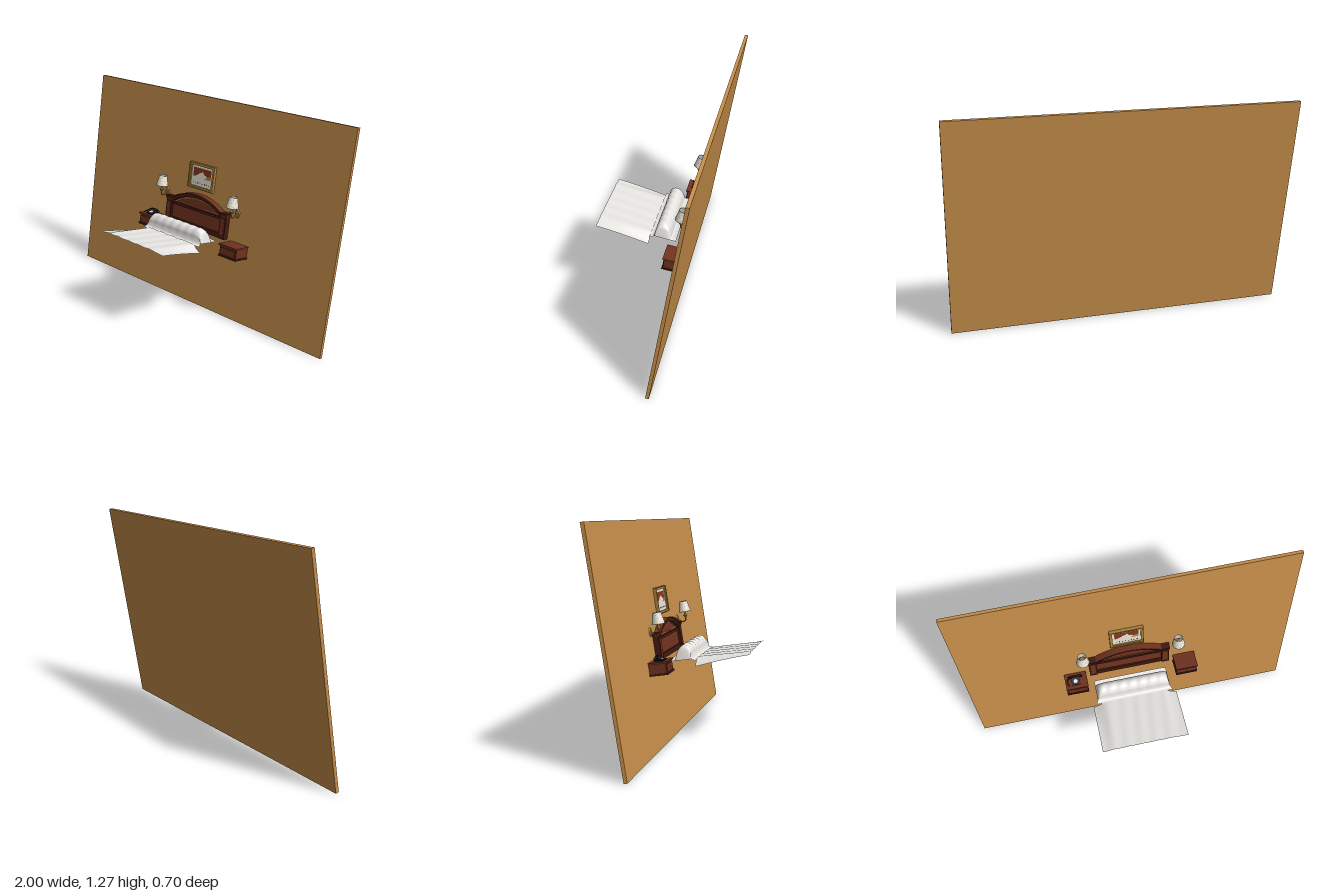
import * as THREE from 'three';

const mat = (name, color, side = THREE.FrontSide) => {
  const m = new THREE.MeshStandardMaterial({ color, side });
  m.name = name;
  return m;
};
const M = {
  wall: mat('tan wall', 0xc68e4a),
  wood: mat('red wood', 0x71321f),
  dark: mat('dark wood', 0x42190f),
  brass: mat('brass', 0xa98238),
  cloth: mat('white cloth', 0xe9e7e3, THREE.DoubleSide),
  shade: mat('cream shade', 0xe6e1d6, THREE.DoubleSide),
  black: mat('black plastic', 0x17171a),
  rust: mat('rust paint', 0x83351c),
};

function add(parent, name, geo, material, x = 0, y = 0, z = 0) {
  const mesh = new THREE.Mesh(geo, material);
  mesh.name = name;
  mesh.position.set(x, y, z);
  parent.add(mesh);
  return mesh;
}
const box = (p, name, m, w, h, d, x, y, z) => add(p, name, new THREE.BoxGeometry(w, h, d), m, x, y, z);
const group = (parent, name, x = 0, y = 0, z = 0) => {
  const g = new THREE.Group();
  g.name = name;
  g.position.set(x, y, z);
  parent.add(g);
  return g;
};
const extrude = (shape, depth) => new THREE.ExtrudeGeometry(shape, { depth, bevelEnabled: false, curveSegments: 32 });
const polygon = pts => new THREE.Shape(pts.map(p => new THREE.Vector2(p[0], p[1])));

// cloth sheet: rule(s, t) with s from -1 to 1 across, t from 0 (head) to 1 (foot)
function sheet(nx, nt, rule) {
  const geo = new THREE.PlaneGeometry(2, 1, nx, nt);
  const p = geo.attributes.position;
  for (let i = 0; i < p.count; i++) p.setXYZ(i, ...rule(p.getX(i), 0.5 - p.getY(i)));
  geo.computeVertexNormals();
  return geo;
}

function buildHeadboard(parent) {
  const g = group(parent, 'headboard', -0.003);
  const R = 0.38, cy = 0.314, a = 0.575;
  const band = (r0, r1) => {
    const s = new THREE.Shape();
    s.absarc(0, cy, r1, Math.PI / 2 - a, Math.PI / 2 + a, false);
    s.absarc(0, cy, r0, Math.PI / 2 + a, Math.PI / 2 - a, true);
    return s;
  };
  const panel = new THREE.Shape();
  panel.moveTo(-0.205, 0.475);
  panel.lineTo(0.205, 0.475);
  panel.absarc(0, cy, R - 0.01, Math.PI / 2 - a, Math.PI / 2 + a, false);
  add(g, 'headboardPanel', extrude(panel, 0.018), M.wood);
  add(g, 'archRail', extrude(band(R - 0.026, R - 0.006), 0.032), M.dark);
  add(g, 'archCap', extrude(band(R - 0.007, R), 0.042), M.wood);
  add(g, 'archBead', extrude(band(R - 0.034, R - 0.030), 0.021), M.brass);
  box(g, 'crossRail', M.dark, 0.41, 0.016, 0.03, 0, 0.597, 0.015);
  box(g, 'crossBead', M.brass, 0.4, 0.003, 0.02, 0, 0.611, 0.01);
  box(g, 'bottomRail', M.dark, 0.41, 0.03, 0.028, 0, 0.49, 0.014);
  for (const s of [-1, 1]) {
    box(g, 'post', M.dark, 0.046, 0.145, 0.034, s * 0.225, 0.5475, 0.017);
    box(g, 'postPanel', M.wood, 0.028, 0.1, 0.003, s * 0.225, 0.55, 0.035);
    box(g, 'postCap', M.dark, 0.056, 0.014, 0.042, s * 0.225, 0.629, 0.021);
    box(g, 'postCapTrim', M.wood, 0.05, 0.006, 0.038, s * 0.225, 0.617, 0.019);
  }
}

function buildBedding(parent) {
  const g = group(parent, 'bedding');
  // pillow cover swept across the bed from a side profile (height, distance from wall)
  const profile = new THREE.CatmullRomCurve3([
    [0.470, 0.071], [0.465, 0.101], [0.489, 0.110], [0.522, 0.125], [0.543, 0.154],
    [0.536, 0.183], [0.510, 0.199], [0.480, 0.201], [0.458, 0.208], [0.452, 0.227],
  ].map(([v, w]) => new THREE.Vector3(0, v, w)));
  add(g, 'pillow', sheet(48, 44, (s, t) => {
    const p = profile.getPoint(t);
    const lift = Math.max(0, p.y - 0.462);
    const end = Math.sqrt(Math.max(0, 1 - Math.abs(s) ** 14));
    const wave = 0.002 * Math.sin(s * 23 + t * 5) * (lift / 0.08);
    const half = 0.226 + 0.012 * Math.max(0, t - 0.85) / 0.15;
    return [-0.011 + s * half, p.y - lift * (1 - end) + wave, p.z + wave];
  }), M.cloth);
  // blanket with sides that droop near the head and flatten at the foot
  add(g, 'blanket', sheet(48, 24, (s, t) => {
    const edge = THREE.MathUtils.smoothstep(Math.abs(s), 0.68, 1);
    const droop = edge * (0.008 + 0.03 * (1 - t) ** 1.2);
    const wave = 0.0015 * Math.sin(s * 19 + t * 3);
    return [-0.011 + s * 0.259, 0.459 - droop + wave, 0.225 + t * 0.32];
  }), M.cloth);
}

function buildNightstand(parent, x, y) {
  const g = group(parent, 'nightstand', x, y, 0);
  box(g, 'standBody', M.wood, 0.126, 0.062, 0.1, 0, 0.038, 0.05);
  box(g, 'standTop', M.wood, 0.136, 0.007, 0.11, 0, 0.0715, 0.055);
  box(g, 'standTopEdge', M.dark, 0.13, 0.004, 0.106, 0, 0.066, 0.053);
  box(g, 'standBase', M.dark, 0.134, 0.011, 0.106, 0, 0.0055, 0.053);
  box(g, 'drawerFrame', M.dark, 0.112, 0.04, 0.002, 0, 0.037, 0.101);
  box(g, 'drawerFront', M.wood, 0.106, 0.034, 0.004, 0, 0.037, 0.102);
  add(g, 'drawerKnob', new THREE.SphereGeometry(0.004, 12, 8), M.brass, 0, 0.037, 0.107);
  return g;
}

function buildPhone(parent) {
  const g = group(parent, 'telephone', -0.004, 0.075, 0.055);
  const side = polygon([[-0.03, 0], [0.03, 0], [0.03, 0.005], [-0.012, 0.017], [-0.03, 0.017]]);
  const base = add(g, 'phoneBase', extrude(side, 0.05), M.black, 0.025, 0, 0);
  base.rotation.y = -Math.PI / 2;
  const dial = add(g, 'phoneDial', new THREE.CylinderGeometry(0.012, 0.012, 0.002, 20), M.cloth, 0, 0.0125, 0.01);
  dial.rotation.x = 0.28;
  const curve = new THREE.CatmullRomCurve3([[-0.036, 0.02], [-0.02, 0.027], [0.02, 0.027], [0.036, 0.02]]
    .map(([x, y]) => new THREE.Vector3(x, y, -0.018)));
  add(g, 'handset', new THREE.TubeGeometry(curve, 16, 0.0045, 8), M.black);
  for (const s of [-1, 1])
    add(g, 'handsetEnd', new THREE.CylinderGeometry(0.007, 0.009, 0.009, 12), M.black, s * 0.036, 0.019, -0.018);
  // coiled cord
  const coil = [];
  for (let i = 0; i <= 80; i++) {
    const t = i / 80, a = t * Math.PI * 20;
    coil.push(new THREE.Vector3(-0.042 + 0.003 * Math.cos(a) - 0.008 * Math.sin(t * Math.PI),
      0.004 + 0.003 * Math.sin(a) + 0.012 * (1 - t) ** 2, -0.018 + t * 0.05));
  }
  add(g, 'phoneCord', new THREE.TubeGeometry(new THREE.CatmullRomCurve3(coil), 160, 0.0012, 5), M.black);
}

function buildLamp(parent, x) {
  const g = group(parent, 'wallLamp', x, 0, 0);
  const plate = add(g, 'wallPlate', new THREE.CylinderGeometry(0.014, 0.017, 0.008, 20), M.brass, 0, 0.648, 0.004);
  plate.rotation.x = Math.PI / 2;
  plate.scale.z = 1.6;
  const arm = new THREE.CatmullRomCurve3([[0.65, 0.006], [0.636, 0.018], [0.626, 0.036], [0.634, 0.054], [0.66, 0.057]]
    .map(([v, w]) => new THREE.Vector3(0, v, w)));
  add(g, 'lampArm', new THREE.TubeGeometry(arm, 24, 0.004, 8), M.brass);
  const cup = [[0, 0.652], [0.006, 0.654], [0.013, 0.664], [0.014, 0.667], [0.006, 0.669], [0.006, 0.7], [0, 0.7]];
  add(g, 'lampCup', new THREE.LatheGeometry(cup.map(p => new THREE.Vector2(...p)), 20), M.brass, 0, 0, 0.057);
  add(g, 'lampBulb', new THREE.SphereGeometry(0.011, 14, 10), M.shade, 0, 0.71, 0.057);
  const rb = 0.038, rt = 0.024, y0 = 0.69, h = 0.064;
  add(g, 'lampShade', new THREE.CylinderGeometry(rt, rb, h, 28, 1, true), M.shade, 0, y0 + h / 2, 0.057);
  for (const [r, y] of [[rb, y0], [rt, y0 + h]]) {
    const rim = add(g, 'shadeRim', new THREE.TorusGeometry(r, 0.0013, 6, 28), M.shade, 0, y, 0.057);
    rim.rotation.x = Math.PI / 2;
  }
  // small painted dots around the shade
  for (let row = 0; row < 3; row++) for (let i = 0; i < 8; i++) {
    const t = 0.2 + row * 0.28, a = (i + (row % 2) / 2) * Math.PI / 4;
    const r = rb + (rt - rb) * t + 0.0006;
    const dot = add(g, 'shadeDot', new THREE.CircleGeometry(0.0024, 8), M.brass,
      Math.sin(a) * r, y0 + h * t, 0.057 + Math.cos(a) * r);
    dot.rotation.set(-0.215, a, 0, 'YXZ');
  }
}

function buildPicture(parent) {
  const g = group(parent, 'picture', -0.005, 0.802, 0);
  const rect = (w, h) => [[-w, -h], [w, -h], [w, h], [-w, h]];
  const ring = (w, h, t) => {
    const s = polygon(rect(w, h));
    s.holes.push(polygon(rect(w - t, h - t)));
    return s;
  };
  add(g, 'pictureFrame', extrude(ring(0.1, 0.078, 0.015), 0.016), M.brass);
  add(g, 'frameLip', extrude(ring(0.102, 0.079, 0.005), 0.02), M.brass);
  box(g, 'pictureMat', M.shade, 0.176, 0.13, 0.008, 0, 0, 0.004);
  const flat = (name, m, z, pts) => add(g, name, new THREE.ShapeGeometry(polygon(pts)), m, 0, 0, z);
  flat('paintedSky', M.rust, 0.0086, [[-0.072, -0.006], [0.072, -0.006], [0.072, 0.05], [-0.072, 0.05]]);
  flat('paintedMountain', M.shade, 0.0092, [[-0.066, -0.007], [0.06, -0.007], [0.03, 0.012], [0.016, 0.014],
    [0.004, 0.034], [-0.008, 0.022], [-0.022, 0.018], [-0.04, 0.004]]);
  flat('paintedHill', M.brass, 0.0098, [[0.02, -0.012], [0.072, -0.012], [0.072, 0.012], [0.05, 0.008]]);
  for (let i = 0; i < 8; i++)
    box(g, 'paintedTree', M.rust, 0.006, 0.004 + 0.003 * (i % 3), 0.001, -0.063 + i * 0.018, -0.044, 0.0085);
}

export function createModel() {
  const root = new THREE.Group();
  root.name = 'bedroomWall';
  // the whole set leans back and turns very slightly
  const set = group(root, 'leaningSet', 0, 0.003, -0.122);
  set.rotation.set(-0.156, -0.0075, 0, 'YXZ');

  box(set, 'wall', M.wall, 2, 1.285, 0.02, 0, 0.6425, -0.01);
  buildHeadboard(set);
  buildBedding(set);
  buildNightstand(set, 0.343, 0.4);
  buildPhone(buildNightstand(set, -0.343, 0.414));
  for (const x of [-0.284, 0.298]) buildLamp(set, x);
  buildPicture(set);
  return root;
}
